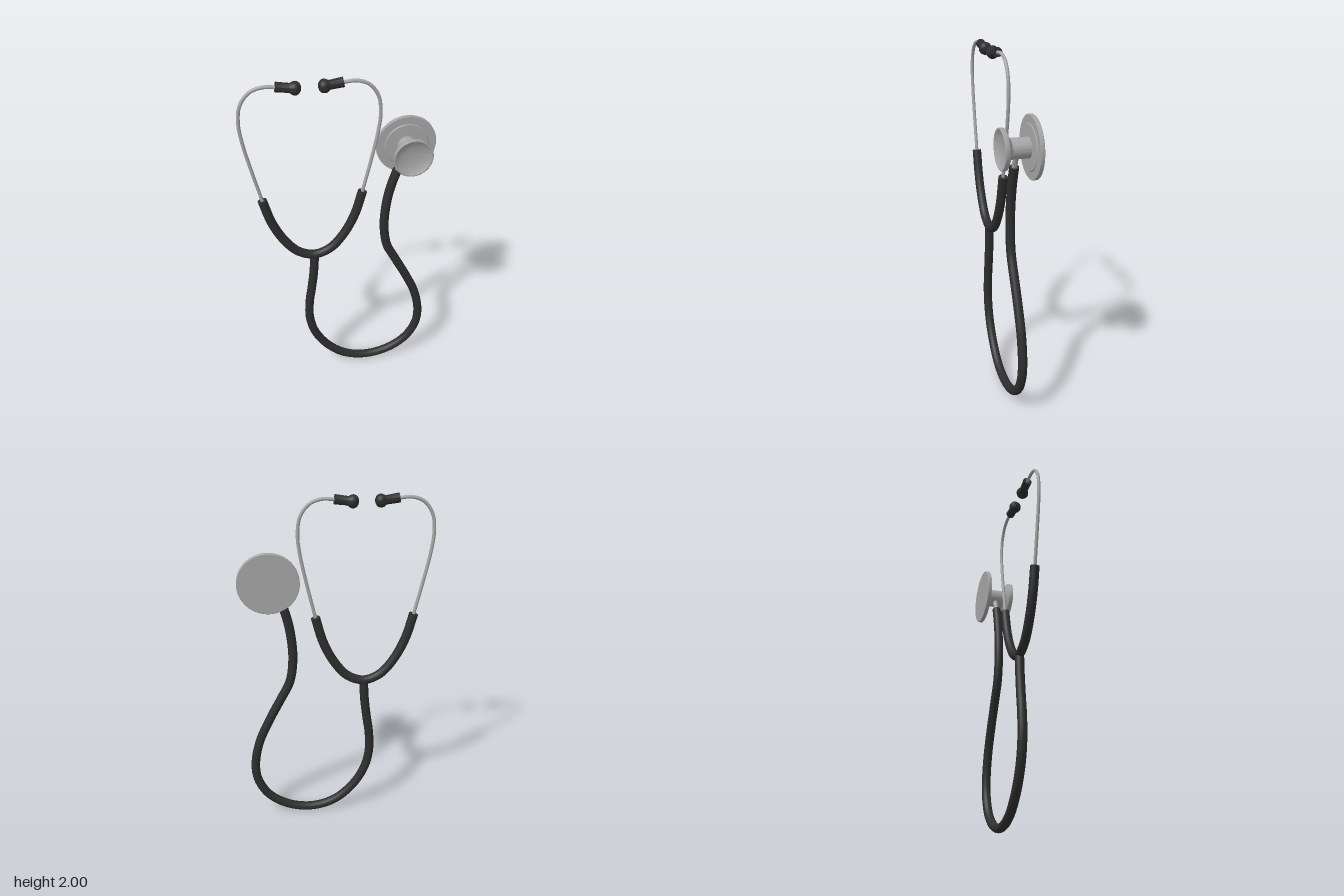
import * as THREE from 'three';
import { toCreasedNormals } from 'three/addons/utils/BufferGeometryUtils.js';

const rubber = new THREE.MeshStandardMaterial({ color: 0x2e2e2e });
rubber.name = 'black rubber';
const metal = new THREE.MeshStandardMaterial({ color: 0xa6a6a6 });
metal.name = 'grey metal';

const Z = -0.009;       // plane of the tubing
const CENTRE = -0.164;  // middle of the headset
const HOSE = 0.026;     // hose radius

function add(parent, name, geometry, material) {
  const mesh = new THREE.Mesh(geometry, material);
  mesh.name = name;
  parent.add(mesh);
  return mesh;
}

// Round tube through [x, y] points, closed with a disc at each end
function tube(name, points, radius, material, segments = 80) {
  const group = new THREE.Group();
  group.name = name;
  const curve = new THREE.CatmullRomCurve3(points.map(([x, y]) => new THREE.Vector3(x, y, Z)));
  add(group, name + 'Body', new THREE.TubeGeometry(curve, segments, radius, 20), material);
  for (const t of [0, 1]) {
    const cap = add(group, name + 'End', new THREE.CircleGeometry(radius, 20), material);
    const outward = curve.getTangentAt(t).multiplyScalar(t ? 1 : -1);
    cap.position.copy(curve.getPointAt(t));
    cap.quaternion.setFromUnitVectors(new THREE.Vector3(0, 0, 1), outward);
  }
  return group;
}

// Turned part with crisp edges, profile given as [radius, height]
function turned(profile, segments) {
  const points = profile.map(([r, h]) => new THREE.Vector2(r, h));
  return toCreasedNormals(new THREE.LatheGeometry(points, segments), 0.5);
}

// Metal ear tube with its rubber tip; side is -1 or 1
function earTube(side) {
  const group = new THREE.Group();
  group.name = side > 0 ? 'leftEarTube' : 'rightEarTube';
  const at = (x, y) => [CENTRE + side * x, y];
  group.add(tube('metalTube', [
    at(0.272, 1.29), at(0.279, 1.325), at(0.321, 1.51), at(0.356, 1.685), at(0.366, 1.79),
    at(0.352, 1.885), at(0.304, 1.952), at(0.241, 1.977), at(0.15, 1.972),
  ], 0.0095, metal));

  // Sleeve and rounded bulb, turned about one axis pointing at the ear
  const tip = add(group, 'earTip', turned([
    [0, 0], [0.026, 0], [0.024, 0.07], [0.028, 0.078], [0.034, 0.088], [0.036, 0.098],
    [0.034, 0.109], [0.028, 0.119], [0.016, 0.127], [0, 0.13],
  ], 28), rubber);
  tip.position.set(CENTRE + side * 0.171, 1.975, Z);
  tip.quaternion.setFromUnitVectors(
    new THREE.Vector3(0, 1, 0), new THREE.Vector3(-side, -0.14, 0).normalize());
  return group;
}

function chestPiece() {
  const group = new THREE.Group();
  group.name = 'chestPiece';
  // Wide diaphragm at the back, neck, and hollow bell at the front
  const geometry = turned([
    [0, -0.093], [0.165, -0.093], [0.168, -0.09], [0.168, -0.072], [0.165, -0.07],
    [0.124, -0.07], [0.12, -0.066], [0.055, -0.064], [0.055, 0.034], [0.06, 0.041],
    [0.1, 0.06], [0.107, 0.064], [0.109, 0.068], [0.109, 0.087], [0.107, 0.089],
    [0.1, 0.089], [0.092, 0.083], [0.075, 0.075], [0.05, 0.069], [0.025, 0.066], [0, 0.065],
  ], 64);
  geometry.rotateX(Math.PI / 2);
  add(group, 'diaphragmAndBell', geometry, metal).position.set(0.368, 1.553, 0);
  group.add(tube('stem', [[0.298, 1.41], [0.325, 1.475], [0.35, 1.53]], 0.015, metal, 8));
  return group;
}

export function createModel() {
  const model = new THREE.Group();
  model.name = 'stethoscope';

  // Rubber yoke, mirrored about the headset centre
  const half = [[0.278, 1.32], [0.235, 1.167], [0.172, 1.04], [0.093, 0.948]];
  model.add(tube('yoke', [
    ...half.map(([x, y]) => [CENTRE - x, y]),
    [CENTRE, 0.915],
    ...half.map(([x, y]) => [CENTRE + x, y]).reverse(),
  ], HOSE, rubber));

  for (const side of [-1, 1]) model.add(earTube(side));

  // Long hose looping from the yoke to the chest piece
  model.add(tube('hose', [
    [-0.164, 0.91], [-0.172, 0.785], [-0.188, 0.655], [-0.203, 0.55], [-0.205, 0.415],
    [-0.172, 0.283], [-0.09, 0.153], [0.025, 0.06], [0.167, 0.028], [0.31, 0.06],
    [0.42, 0.14], [0.48, 0.25], [0.493, 0.36], [0.463, 0.52], [0.394, 0.68],
    [0.325, 0.812], [0.267, 0.93], [0.246, 1.075], [0.256, 1.235], [0.277, 1.34],
    [0.307, 1.437],
  ], HOSE, rubber, 180));

  model.add(chestPiece());
  return model;
}
